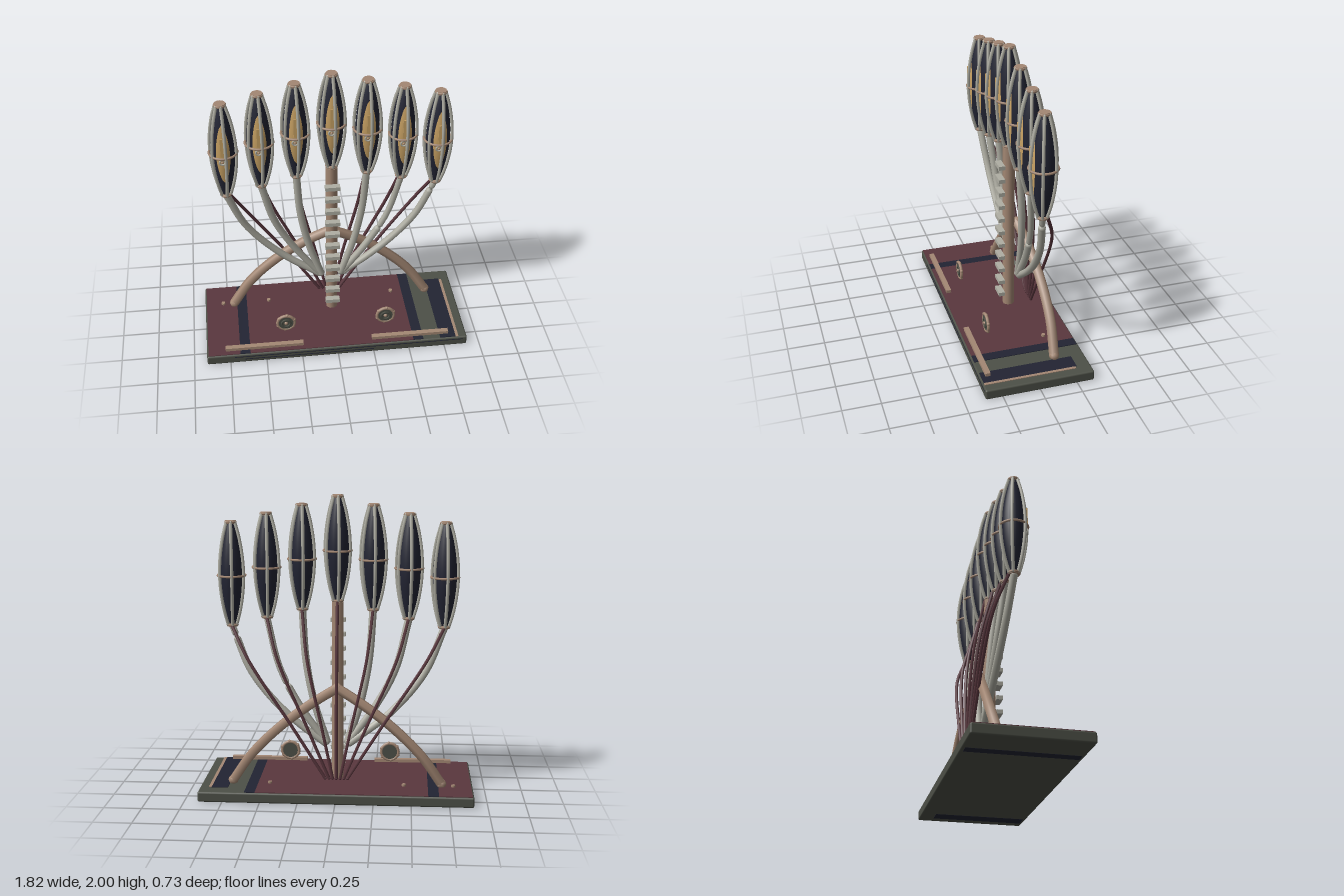
import * as THREE from 'three';
import { RoundedBoxGeometry } from 'three/addons/geometries/RoundedBoxGeometry.js';

const material = (name, color, extra = {}) => {
  const m = new THREE.MeshStandardMaterial({ color, ...extra });
  m.name = name;
  return m;
};
const silver = material('pale metal', 0xb0afa4);
const copper = material('dull copper', 0xa48874);
const gold = material('gold', 0xc9a264, { side: THREE.DoubleSide });
const navy = material('dark navy', 0x222433);
const green = material('grey green', 0x4d5047);
const burgundy = material('burgundy', 0x5a373e);

function add(parent, name, geometry, mat, x = 0, y = 0, z = 0) {
  const mesh = new THREE.Mesh(geometry, mat);
  mesh.name = name;
  mesh.position.set(x, y, z);
  parent.add(mesh);
  return mesh;
}
const box = (w, h, d) => new THREE.BoxGeometry(w, h, d);

// Tube through a few points, closed with a ball at each end
function tube(parent, name, points, radius, mat, segments = 24, sides = 8) {
  const pts = points.map(p => new THREE.Vector3(...p));
  const curve = new THREE.CatmullRomCurve3(pts);
  add(parent, name, new THREE.TubeGeometry(curve, segments, radius, sides), mat);
  for (const p of [pts[0], pts[pts.length - 1]])
    add(parent, name + 'End', new THREE.SphereGeometry(radius, 8, 6), mat, p.x, p.y, p.z);
}

const LAMP_HEIGHT = 0.7;
const LAMP_Z = -0.06;
const bulge = t => Math.pow(Math.max(0, Math.sin(Math.PI * t)), 0.85);
const coreRadius = t => 0.022 + 0.056 * bulge(t);

// Gold flame panel wrapped around the front of the core
function flameGeometry() {
  const g = new THREE.PlaneGeometry(1, 1, 8, 20);
  const p = g.attributes.position;
  for (let i = 0; i < p.count; i++) {
    const v = p.getY(i) + 0.5;
    const t = 0.2 + 0.62 * v;
    const angle = p.getX(i) * 1.15 * Math.sqrt(Math.max(0, Math.sin(Math.PI * v)));
    const r = coreRadius(t) + 0.004;
    p.setXYZ(i, r * Math.sin(angle), t * LAMP_HEIGHT, r * Math.cos(angle));
  }
  g.computeVertexNormals();
  return g;
}

function createLamp() {
  const lamp = new THREE.Group();
  const core = [];
  for (let i = 0; i <= 20; i++)
    core.push(new THREE.Vector2(coreRadius(i / 20), 0.01 + (LAMP_HEIGHT - 0.02) * i / 20));
  add(lamp, 'lampCore', new THREE.LatheGeometry(core, 20), navy);
  add(lamp, 'flamePanel', flameGeometry(), gold);

  // Six bowed cage ribs
  for (let k = 0; k < 6; k++) {
    const a = THREE.MathUtils.degToRad(20 + 60 * k);
    const pts = [];
    for (let i = 0; i <= 8; i++) {
      const t = i / 8;
      const r = 0.032 + 0.058 * bulge(t);
      pts.push([r * Math.cos(a), 0.012 + (LAMP_HEIGHT - 0.024) * t, r * Math.sin(a)]);
    }
    tube(lamp, 'cageRib', pts, 0.011, silver, 18, 6);
  }

  // End caps and middle band
  for (const y of [0.01, LAMP_HEIGHT - 0.01]) {
    add(lamp, 'lampCap', new THREE.CylinderGeometry(0.036, 0.036, 0.02, 16), copper, 0, y, 0);
    const rim = add(lamp, 'capRim', new THREE.TorusGeometry(0.034, 0.008, 6, 16), copper, 0, y, 0);
    rim.rotation.x = Math.PI / 2;
  }
  const band = add(lamp, 'middleBand', new THREE.TorusGeometry(0.091, 0.008, 6, 28), copper, 0, 0.34, 0);
  band.rotation.x = Math.PI / 2;

  // Small latch on the front
  add(lamp, 'latchRing', new THREE.TorusGeometry(0.018, 0.006, 6, 14), silver, -0.008, 0.312, 0.084);
  add(lamp, 'latchPin', new THREE.SphereGeometry(0.008, 8, 6), copper, -0.008, 0.312, 0.086);
  add(lamp, 'latchBar', box(0.016, 0.13, 0.008), gold, -0.008, 0.42, 0.084);
  return lamp;
}

function createBase(root) {
  const base = new THREE.Group();
  base.name = 'base';
  add(base, 'baseSlab', new RoundedBoxGeometry(1.82, 0.07, 0.73, 2, 0.012), green, 0, 0.035, 0);
  // Inlays: name, material, x range, z range, surface height
  const inlay = (name, mat, x0, x1, z0, z1, y) =>
    add(base, name, box(x1 - x0, 0.008, z1 - z0), mat, (x0 + x1) / 2, y, (z0 + z1) / 2);
  inlay('topCloth', burgundy, -0.9, -0.68, -0.355, 0.355, 0.07);
  inlay('topCloth', burgundy, -0.61, 0.53, -0.355, 0.355, 0.07);
  inlay('topBand', navy, -0.68, -0.61, -0.355, 0.355, 0.07);
  inlay('topBand', navy, 0.53, 0.6, -0.355, 0.355, 0.07);
  inlay('topPatch', navy, 0.72, 0.83, -0.27, 0.355, 0.07);
  inlay('patchEdge', copper, 0.83, 0.85, -0.26, 0.355, 0.07);
  inlay('bottomPatch', navy, 0.72, 0.83, -0.27, 0.345, 0.003);
  inlay('bottomBand', navy, -0.68, -0.61, -0.345, 0.345, 0.003);
  add(base, 'frontLine', box(1.6, 0.005, 0.006), navy, 0.08, 0.052, 0.364);
  add(base, 'frontLine', box(0.9, 0.005, 0.006), navy, -0.2, 0.03, 0.364);

  for (const s of [-1, 1])
    add(base, 'frontRail', box(0.54, 0.022, 0.034), copper, s * 0.51, 0.092, 0.313);
  for (const x of [-0.78, -0.45, 0.45])
    add(base, 'stud', new THREE.CylinderGeometry(0.014, 0.014, 0.016, 8), copper, x, 0.08, -0.17);
  root.add(base);
}

// Upright round medallion with a small hub and lugs
function createMedallion() {
  const g = new THREE.Group();
  g.name = 'medallion';
  const disc = add(g, 'medallionDisc', new THREE.CylinderGeometry(0.058, 0.058, 0.016, 20), green);
  disc.rotation.x = Math.PI / 2;
  add(g, 'medallionRim', new THREE.TorusGeometry(0.059, 0.011, 8, 24), copper);
  add(g, 'innerRing', new THREE.TorusGeometry(0.03, 0.007, 6, 18), green, 0, 0, 0.008);
  add(g, 'hub', new THREE.SphereGeometry(0.014, 10, 8), copper, 0, 0, 0.006);
  for (let k = 0; k < 6; k++) {
    const a = k * Math.PI / 3 + 0.4;
    add(g, 'lug', new THREE.SphereGeometry(0.012, 8, 6), copper, 0.062 * Math.cos(a), 0.062 * Math.sin(a), 0);
  }
  return g;
}

export function createModel() {
  const root = new THREE.Group();
  root.name = 'sevenLampStand';
  createBase(root);

  for (const x of [-0.35, 0.35]) {
    const m = createMedallion();
    m.position.set(x, 0.19, 0.203);
    root.add(m);
  }

  // Central column with front rungs
  const column = add(root, 'column', new THREE.CylinderGeometry(0.041, 0.041, 1.21, 8).toNonIndexed(), copper, 0, 0.695, LAMP_Z);
  column.geometry.rotateY(Math.PI / 8);
  for (let i = 0; i < 11; i++)
    add(root, 'rung', box(0.1, 0.028, 0.042), silver, 0, 0.19 + 0.098 * i, 0);

  // Rear arch, one leg per side
  for (const s of [-1, 1])
    tube(root, 'archLeg', [[s * 0.7, 0.09, -0.16], [s * 0.57, 0.28, -0.175],
      [s * 0.38, 0.47, -0.17], [s * 0.18, 0.62, -0.15], [0, 0.73, -0.12]], 0.034, copper, 28, 6);

  // Lamps and their feed cables
  for (let k = -3; k <= 3; k++) {
    const x = k * 0.2333;
    const y = 1.3 - 0.0567 * Math.abs(k);
    const lamp = createLamp();
    lamp.name = 'lamp';
    lamp.position.set(x, y, LAMP_Z);
    root.add(lamp);
    tube(root, 'cable', [[k * 0.025, 0.13, -0.205], [x * 0.42, 0.48, -0.2],
      [x * 0.84, 0.93, -0.165], [x, y + 0.01, -0.09]], 0.011, burgundy, 24, 6);
  }

  // Curved branches, inner to outer
  const paths = [
    [[0.07, 0.36, -0.105], [0.155, 0.63, -0.1], [0.21, 0.92, -0.085], [0.233, 1.24, LAMP_Z]],
    [[0.075, 0.355, -0.11], [0.25, 0.6, -0.105], [0.385, 0.86, -0.09], [0.467, 1.185, LAMP_Z]],
    [[0.085, 0.35, -0.115], [0.36, 0.57, -0.11], [0.58, 0.84, -0.09], [0.7, 1.13, LAMP_Z]],
  ];
  for (const s of [-1, 1]) {
    paths.forEach((path, i) => {
      const mirrored = path.map(([x, y, z]) => [s * x, y, z]);
      if (s < 0 || i === 0) return tube(root, 'branch', mirrored, 0.025, silver);
      // Two of the left branches are split, joined by a thin neck
      const curve = new THREE.CatmullRomCurve3(mirrored.map(p => new THREE.Vector3(...p)));
      const part = (a, b) => [0, 1, 2, 3, 4].map(j => curve.getPoint(a + (b - a) * j / 4).toArray());
      const cut = i === 1 ? 0.52 : 0.92;
      tube(root, 'branchLower', part(0, cut - 0.02), 0.025, silver);
      tube(root, 'branchNeck', part(cut - 0.03, cut + 0.04), 0.014, silver, 6);
      tube(root, 'branchUpper', part(cut + 0.03, 1), 0.022, silver);
    });
  }
  return root;
}
